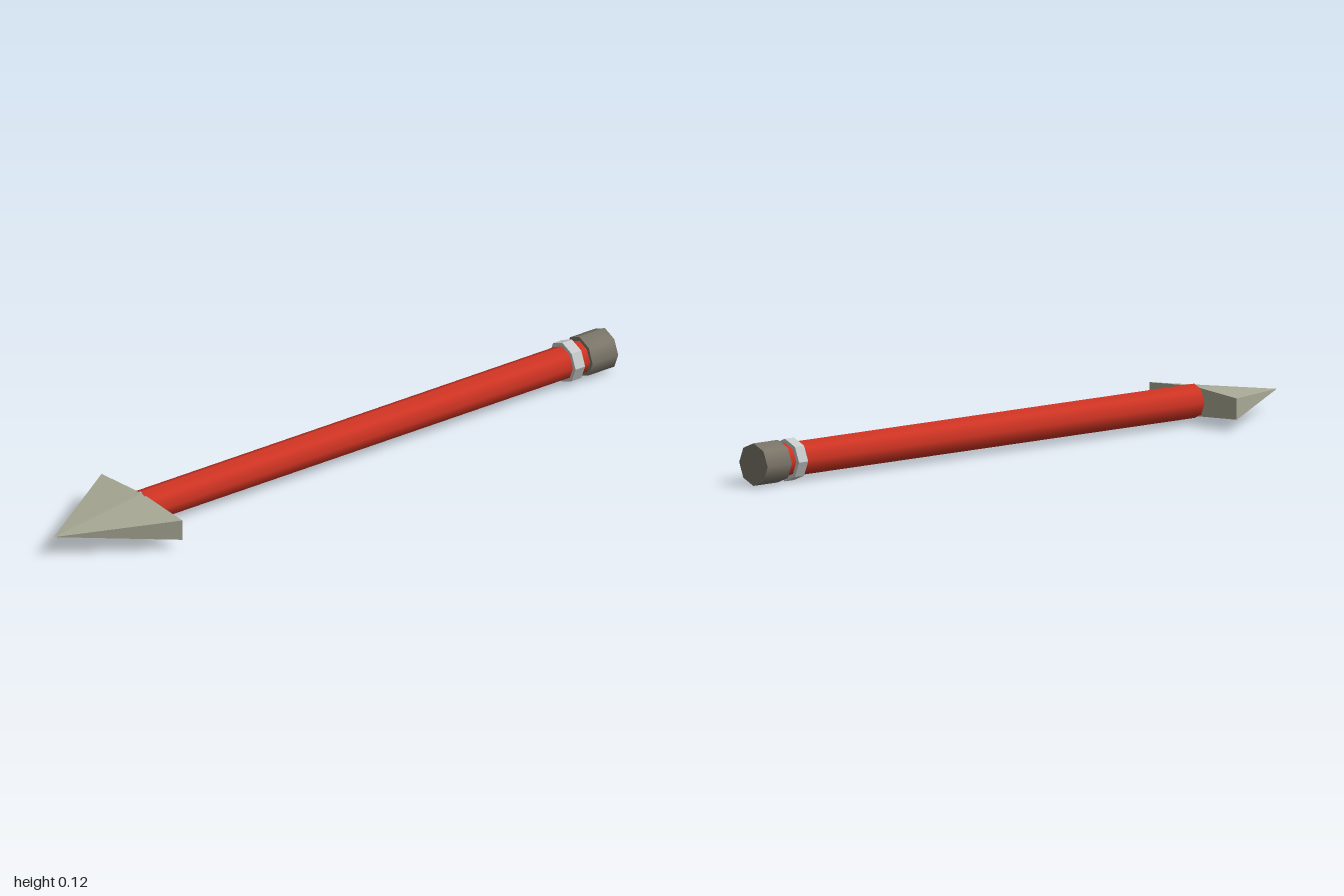
import * as THREE from 'three';

const AXIS_Y = 0.063;

function material(name, color, side = THREE.FrontSide) {
  const m = new THREE.MeshStandardMaterial({ color, side });
  m.name = name;
  return m;
}

// Eight-sided rod along z, with a corner pointing up
function rod(name, radius, zBack, zFront, mat, open = false) {
  const geo = new THREE.CylinderGeometry(radius, radius, zFront - zBack, 8, 1, open);
  geo.rotateX(Math.PI / 2);
  const mesh = new THREE.Mesh(geo, mat);
  mesh.name = name;
  mesh.position.set(0, AXIS_Y, (zBack + zFront) / 2);
  return mesh;
}

// Flattened six-sided pyramid pointing forward
function spearHead(mat) {
  const zBase = 0.68;
  const ring = [
    [0.19, -0.031], [0.19, 0.031], [0, 0.0435],
    [-0.19, 0.031], [-0.19, -0.031], [0, -0.0435],
  ];
  const points = [];
  ring.forEach(([x, y], i) => {
    const [nx, ny] = ring[(i + 1) % ring.length];
    points.push(x, y, zBase, nx, ny, zBase, 0, 0, 1); // slope to the tip
    points.push(nx, ny, zBase, x, y, zBase, 0, 0, zBase); // back face
  });
  const geo = new THREE.BufferGeometry();
  geo.setAttribute('position', new THREE.Float32BufferAttribute(points, 3));
  geo.computeVertexNormals();
  const mesh = new THREE.Mesh(geo, mat);
  mesh.name = 'spearHead';
  mesh.position.y = AXIS_Y;
  return mesh;
}

// Collar with a rectangular section around the shaft
function collar(mat) {
  const geoParts = [
    [0.049, -0.0175], [0.062, -0.0175], [0.062, 0.0175], [0.049, 0.0175],
  ].map(([r, h]) => new THREE.Vector2(r, h));
  const profile = [];
  // Doubled points keep the rims sharp
  for (let i = 0; i < 3; i++) profile.push(geoParts[i], geoParts[i + 1]);
  const geo = new THREE.LatheGeometry(profile, 8).toNonIndexed();
  geo.computeVertexNormals();
  geo.rotateX(Math.PI / 2);
  const mesh = new THREE.Mesh(geo, mat);
  mesh.name = 'collar';
  mesh.position.set(0, AXIS_Y, -0.8625);
  return mesh;
}

export function createModel() {
  const group = new THREE.Group();
  group.name = 'spear';
  group.add(
    rod('shaft', 0.05, -0.92, 0.685, material('red shaft', 0xd03423), true),
    rod('buttCap', 0.062, -1, -0.907, material('dark grey metal', 0x7c766a)),
    collar(material('light grey metal', 0xc6caca, THREE.DoubleSide)),
    spearHead(material('pale stone', 0xa8a995)),
  );
  return group;
}
